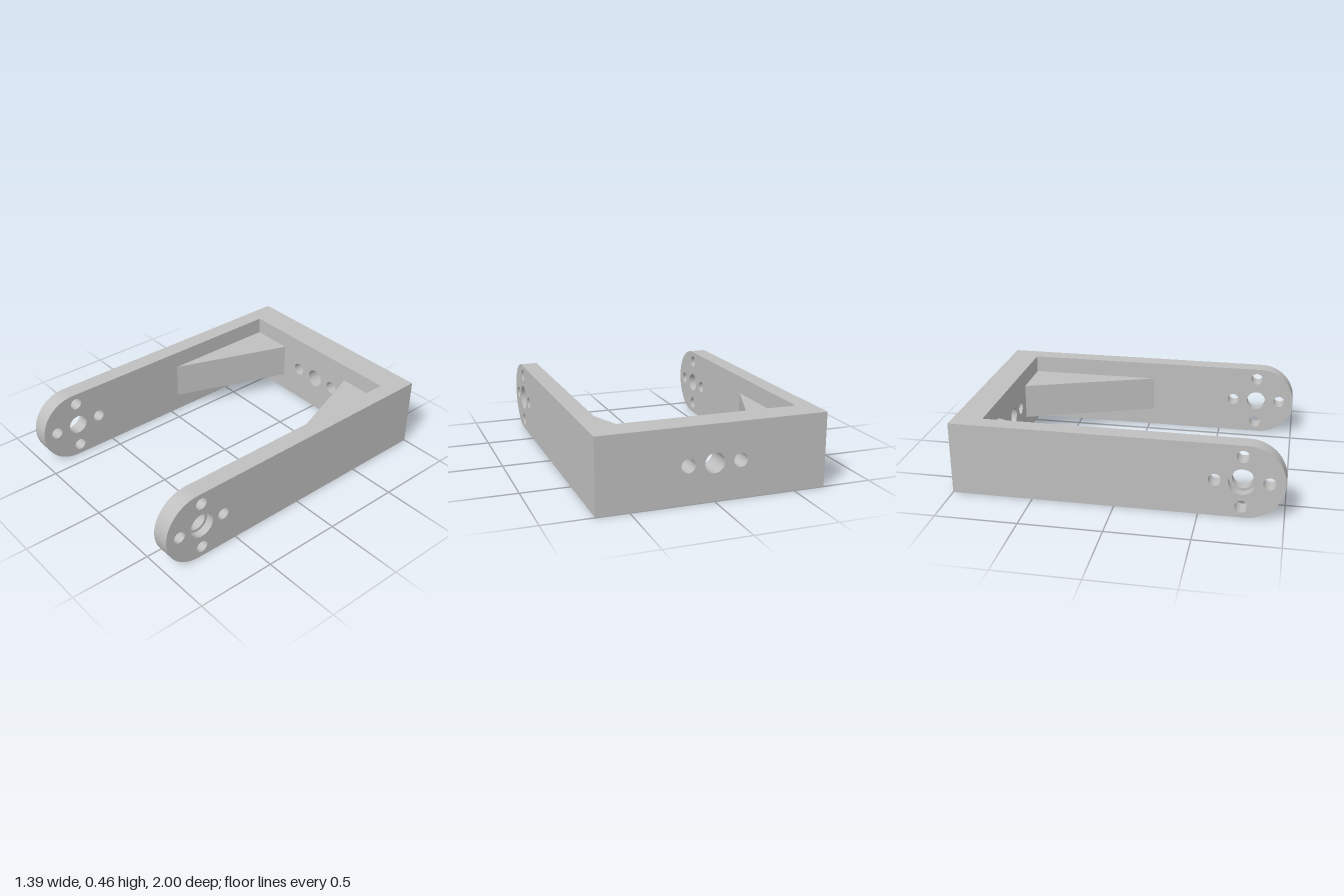
import * as THREE from 'three';
import { toCreasedNormals } from 'three/addons/utils/BufferGeometryUtils.js';

const H = 0.455, MID = H / 2, OUT = 0.695, BACK = -0.82;
const PIVOT = 0.75, PITCH = 0.158;

export function createModel() {
  const group = new THREE.Group();
  const grey = new THREE.MeshStandardMaterial({ color: 0xbfbfbf });
  grey.name = 'grey';

  const addHole = (shape, x, y, r) => {
    const hole = new THREE.Path();
    hole.absarc(x, y, r, 0, Math.PI * 2, true);
    shape.holes.push(hole);
  };
  const extrude = (shape, depth) => toCreasedNormals(
    new THREE.ExtrudeGeometry(shape, { depth, bevelEnabled: false, curveSegments: 32 }), 0.5);
  const add = (geometry, name, parent = group) => {
    const mesh = new THREE.Mesh(geometry, grey);
    mesh.name = name;
    parent.add(mesh);
    return mesh;
  };

  // One slice of an arm, drawn in z/y and extruded along x
  const armLayer = (x0, x1, bore) => {
    const s = new THREE.Shape();
    s.moveTo(-1, 0);
    s.lineTo(1 - MID, 0);
    s.absarc(1 - MID, MID, MID, -Math.PI / 2, Math.PI / 2, false);
    s.lineTo(-1, H);
    s.closePath();
    addHole(s, PIVOT, MID, bore);
    for (const [dz, dy] of [[1, 0], [-1, 0], [0, 1], [0, -1]]) {
      addHole(s, PIVOT + dz * PITCH, MID + dy * PITCH, 0.038);
    }
    return extrude(s, x1 - x0).rotateY(-Math.PI / 2).translate(x1, 0, 0);
  };

  // Arms: the wider outer bore makes a counterbore
  const arm = (name, inner, step, outer, innerBore, outerBore) => {
    const g = new THREE.Group();
    g.name = name;
    add(armLayer(inner, step, innerBore), name + 'InnerLayer', g);
    add(armLayer(step, outer, outerBore), name + 'OuterLayer', g);
    group.add(g);
  };
  arm('leftArm', 0.585, 0.645, OUT, 0.062, 0.08);
  arm('rightArm', -OUT, -0.645, -0.587, 0.08, 0.062);

  // Back plate with three holes
  const plate = new THREE.Shape();
  plate.moveTo(-0.587, 0);
  plate.lineTo(0.585, 0);
  plate.lineTo(0.585, H);
  plate.lineTo(-0.587, H);
  plate.closePath();
  addHole(plate, 0, MID, 0.06);
  for (const side of [-1, 1]) addHole(plate, side * PITCH, MID, 0.042);
  add(extrude(plate, 1 + BACK), 'backPlate').position.z = -1;

  // Triangular corner braces
  const brace = (name, xArm, xPlate, zTip) => {
    const s = new THREE.Shape([
      new THREE.Vector2(xArm, -BACK),
      new THREE.Vector2(xPlate, -BACK),
      new THREE.Vector2(xArm, -zTip),
    ]);
    add(extrude(s, 0.23).rotateX(-Math.PI / 2), name).position.y = 0.114;
  };
  brace('leftBrace', 0.585, 0.273, 0.03);
  brace('rightBrace', -0.587, -0.31, -0.06);

  return group;
}
